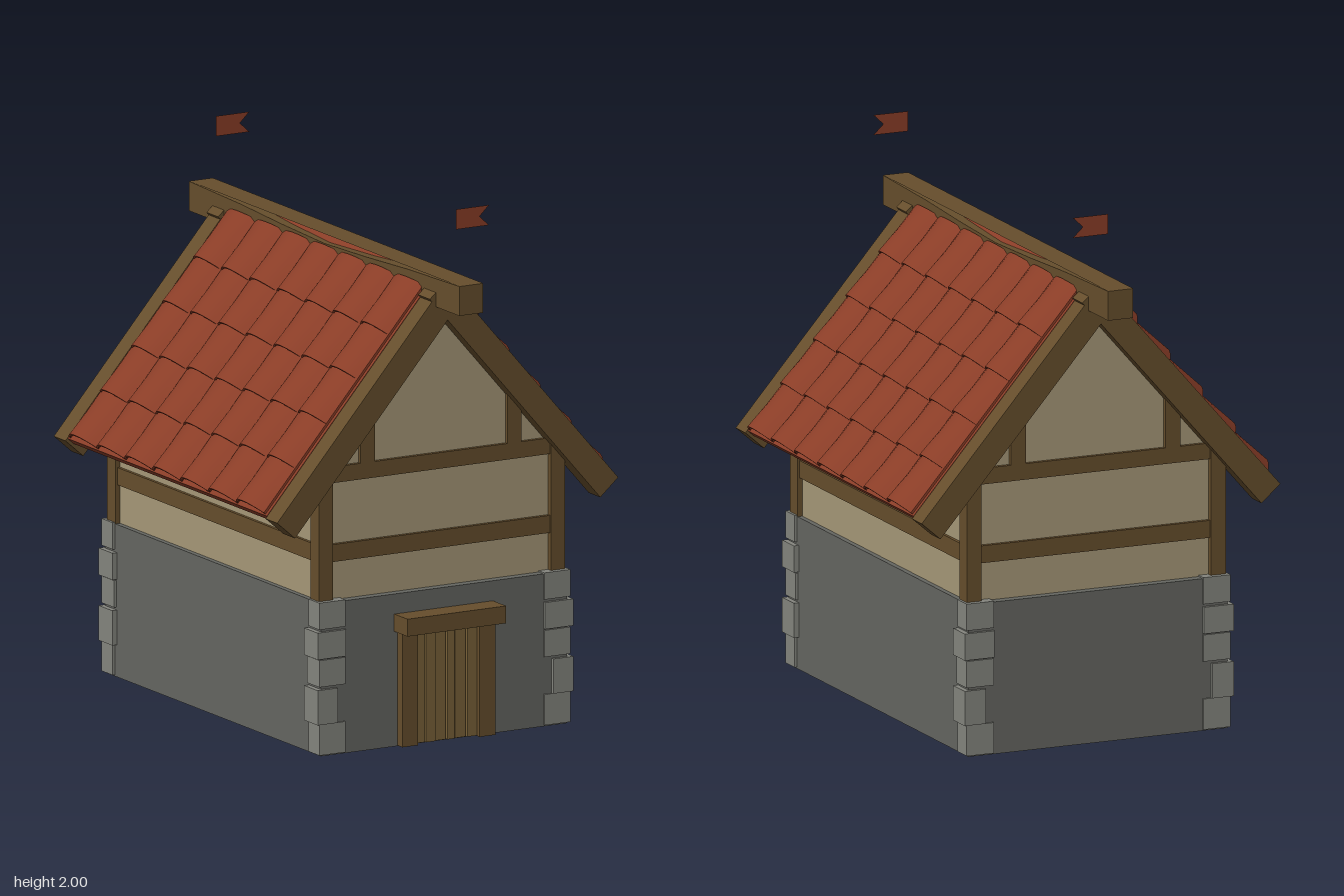
import * as THREE from 'three';

const mat = (color, extra = {}) => new THREE.MeshStandardMaterial({ color, ...extra });
const STONE = mat(0x656661), QUOIN = mat(0x84857e), PLASTER = mat(0xa69878);
const WOOD = mat(0x664e2c), PLANK = mat(0x7a6238), ROOF = mat(0x8a3d27);
const CLOTH = mat(0x8a3d27, { side: THREE.DoubleSide });
const WOOD_THIN = mat(0x664e2c, { side: THREE.DoubleSide });

// Box given by its lower and upper corner
function box(parent, name, m, x0, x1, y0, y1, z0, z1) {
  const mesh = new THREE.Mesh(new THREE.BoxGeometry(x1 - x0, y1 - y0, z1 - z0), m);
  mesh.position.set((x0 + x1) / 2, (y0 + y1) / 2, (z0 + z1) / 2);
  mesh.name = name;
  parent.add(mesh);
  return mesh;
}

function extrude(parent, name, m, points, depth) {
  const shape = new THREE.Shape(points.map(([x, y]) => new THREE.Vector2(x, y)));
  const geo = new THREE.ExtrudeGeometry(shape, { depth, bevelEnabled: false });
  geo.translate(0, 0, -depth / 2);
  const mesh = new THREE.Mesh(geo, m);
  mesh.name = name;
  parent.add(mesh);
  return mesh;
}

// Thin arched tile: local +x runs down the slope, the lower end is lifted most
function tileGeometry(length, width) {
  const geo = new THREE.BoxGeometry(length, 0.01, width, 2, 1, 8);
  const p = geo.attributes.position;
  for (let i = 0; i < p.count; i++) {
    const u = p.getX(i) / length + 0.5;
    const v = (2 * p.getZ(i)) / width;
    p.setY(i, p.getY(i) + (1 - v * v) * (0.02 + 0.028 * u));
  }
  geo.computeVertexNormals();
  return geo;
}

// One roof slope: slab, rows of tiles and the boards along the gables
function roofSlope() {
  const slope = new THREE.Group();
  slope.position.y = 1.727;
  slope.rotation.z = -0.854;
  box(slope, 'roofSlab', ROOF, 0, 1.085, -0.035, 0, -0.715, 0.715);
  const geo = tileGeometry(0.225, 0.2);
  for (let row = 0; row < 5; row++) {
    for (let col = 0; col < 7; col++) {
      const tile = new THREE.Mesh(geo, ROOF);
      tile.name = 'roofTile';
      tile.position.set(1.08 - row * 0.2 - 0.1125, 0.004, (col - 3) * 0.2);
      slope.add(tile);
    }
  }
  for (const s of [-1, 1]) {
    box(slope, 'bargeboard', WOOD, 0, 1.096, -0.1, 0, s * 0.76 - 0.042, s * 0.76 + 0.042);
  }
  return slope;
}

export function createModel() {
  const house = new THREE.Group();
  house.name = 'house';

  // Walls
  box(house, 'stoneBase', STONE, -0.52, 0.52, 0, 0.57, -0.775, 0.775);
  extrude(house, 'plasterWalls', PLASTER,
    [[-0.5, 0.56], [0.5, 0.56], [0.5, 1.1], [0, 1.66], [-0.5, 1.1]], 1.48);

  // Corner stones: y0, y1, overhang, width along x, width along z
  const stones = [
    [0.005, 0.12, 0.01, 0.11, 0.08],
    [0.12, 0.25, 0.02, 0.085, 0.1],
    [0.26, 0.36, 0.01, 0.11, 0.09],
    [0.365, 0.465, 0.02, 0.12, 0.1],
    [0.475, 0.575, 0.01, 0.11, 0.08],
  ];
  for (const sx of [-1, 1]) for (const sz of [-1, 1]) {
    for (const [y0, y1, out, wx, wz] of stones) {
      const stone = box(house, 'cornerStone', QUOIN, 0, wx, y0, y1, 0, wz);
      stone.position.x = sx * (0.52 + out - wx / 2);
      stone.position.z = sz * (0.777 + out / 2 - wz / 2);
    }
    // Corner posts
    const post = box(house, 'cornerPost', WOOD, 0, 0.06, 0.56, 1.06, 0, 0.062);
    post.position.x = sx * 0.49;
    post.position.z = sz * 0.73;
  }

  // Timber frame
  for (const s of [-1, 1]) {
    const z0 = s * 0.735 - 0.02, z1 = s * 0.735 + 0.02;
    box(house, 'gableRail', WOOD, -0.47, 0.47, 0.715, 0.78, z0, z1);
    box(house, 'gableTieBeam', WOOD, -0.5, 0.5, 1.01, 1.07, z0, z1);
    for (const x of [-0.31, 0.31]) {
      box(house, 'gableStud', WOOD, x - 0.03, x + 0.03, 1.06, 1.3, z0, z1);
    }
    box(house, 'sideRail', WOOD, s * 0.495 - 0.017, s * 0.495 + 0.017, 0.715, 0.78, -0.71, 0.71);
  }

  // Roof
  const roof = new THREE.Group();
  roof.name = 'roof';
  for (const turn of [0, Math.PI]) {
    const side = new THREE.Group();
    side.name = 'roofSide';
    side.rotation.y = turn;
    side.add(roofSlope());
    roof.add(side);
  }
  house.add(roof);

  // Ridge beam with sagging sides under a flat cap
  const ridge = extrude(house, 'ridgeBeam', WOOD,
    [[-0.97, 1.63], [0.97, 1.63], [0.97, 1.74], [0.6, 1.73], [0.3, 1.715],
      [0, 1.705], [-0.3, 1.715], [-0.6, 1.73], [-0.97, 1.74]], 0.1);
  ridge.rotation.y = Math.PI / 2;
  const cap = new THREE.Mesh(new THREE.PlaneGeometry(0.1, 1.94), WOOD_THIN);
  cap.name = 'ridgeCap';
  cap.rotation.x = -Math.PI / 2;
  cap.position.y = 1.741;
  house.add(cap);

  // Swallowtail flags
  const flag = new THREE.ShapeGeometry(new THREE.Shape(
    [[0, 1.925], [0.14, 1.925], [0.1, 1.962], [0.14, 2], [0, 2]]
      .map(([x, y]) => new THREE.Vector2(x, y))));
  for (const z of [-0.86, 0.86]) {
    const mesh = new THREE.Mesh(flag, CLOTH);
    mesh.name = 'flag';
    mesh.position.z = z;
    house.add(mesh);
  }

  // Door
  const door = new THREE.Group();
  door.name = 'door';
  for (const x of [-0.163, 0.163]) {
    box(door, 'doorPost', WOOD, x - 0.033, x + 0.033, 0.002, 0.44, 0.76, 0.81);
  }
  box(door, 'doorLintel', WOOD, -0.21, 0.207, 0.43, 0.495, 0.76, 0.87);
  const edges = [-0.13, -0.09, -0.045, 0, 0.035, 0.085, 0.13];
  for (let i = 0; i < 6; i++) {
    box(door, 'doorPlank', PLANK, edges[i] + 0.002, edges[i + 1] - 0.002,
      0.005, 0.435, 0.76, 0.79 + (i % 2) * 0.006);
  }
  house.add(door);
  return house;
}
